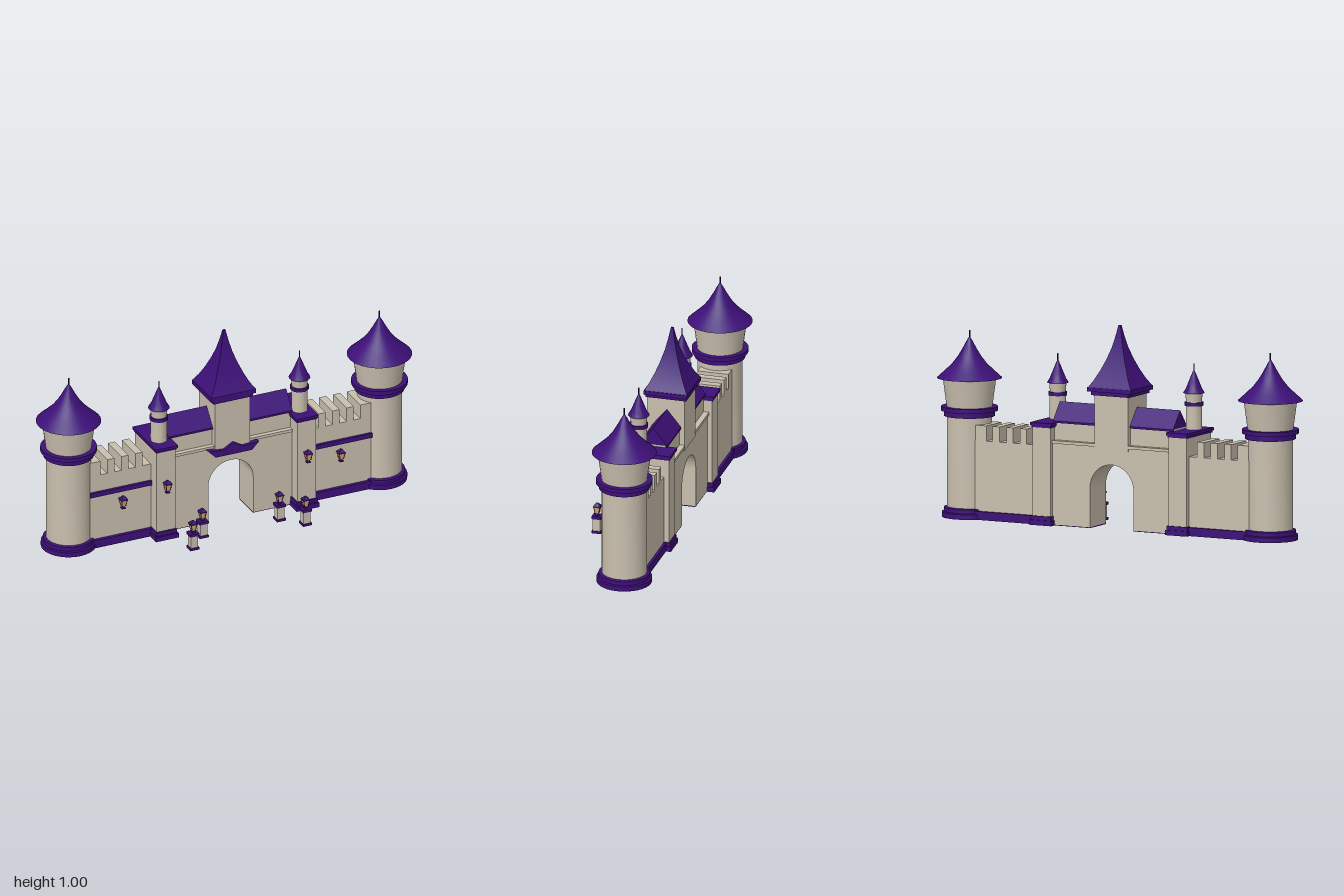
import * as THREE from 'three';
import { toCreasedNormals } from 'three/addons/utils/BufferGeometryUtils.js';

const mat = (name, color) => {
  const m = new THREE.MeshStandardMaterial({ color });
  m.name = name;
  return m;
};

export function createModel() {
  const stone = mat('stone', 0xc9bfae);
  const purple = mat('purple', 0x3d0f78);
  const glass = mat('lanternGlass', 0xdcae62);
  const dark = mat('finialMetal', 0x1c0a36);

  const add = (parent, name, geo, material) => {
    const m = new THREE.Mesh(geo, material);
    m.name = name;
    parent.add(m);
    return m;
  };
  // Box given by its min and max on each axis
  const box = (parent, name, material, x0, x1, y0, y1, z0, z1) => {
    const m = add(parent, name, new THREE.BoxGeometry(Math.abs(x1 - x0), y1 - y0, z1 - z0), material);
    m.position.set((x0 + x1) / 2, (y0 + y1) / 2, (z0 + z1) / 2);
    return m;
  };
  // Turned part from [radius, height] pairs, bottom to top
  const turned = (parent, name, material, pts, sides = 32, crease = 0.5) => {
    const flat = sides === 4;
    const g = new THREE.LatheGeometry(
      pts.map(([r, y]) => new THREE.Vector2(flat ? r * Math.SQRT2 : r, y)), sides, flat ? Math.PI / 4 : 0);
    return add(parent, name, toCreasedNormals(g, flat ? 0.3 : crease), material);
  };
  const group = (parent, name, x, y, z) => {
    const g = new THREE.Group();
    g.name = name;
    g.position.set(x, y, z);
    parent.add(g);
    return g;
  };

  const model = new THREE.Group();
  model.name = 'castleGate';
  const castle = group(model, 'castle', 0, 0, -0.078);
  castle.rotation.y = -0.0167;

  // Small lantern, 0.07 tall
  const lantern = (parent, x, y, z) => {
    const g = group(parent, 'lantern', x, y, z);
    turned(g, 'lanternFoot', purple, [[0, 0], [0.010, 0], [0.010, 0.006], [0.005, 0.009], [0.008, 0.015], [0, 0.015]], 4);
    turned(g, 'lanternPane', glass, [[0.009, 0.014], [0.015, 0.048]], 4);
    turned(g, 'lanternCap', purple, [[0, 0.047], [0.018, 0.047], [0.018, 0.052], [0.008, 0.062], [0, 0.071]], 4);
    for (const sx of [-1, 1]) for (const sz of [-1, 1]) {
      const bar = add(g, 'lanternBar', new THREE.BoxGeometry(0.003, 0.035, 0.003), purple);
      bar.position.set(sx * 0.012, 0.031, sz * 0.012);
      bar.rotation.set(sz * 0.17, 0, -sx * 0.17);
    }
  };

  for (const s of [-1, 1]) {
    // Round end tower
    const tower = group(castle, 'endTower', s * 0.838, 0, 0);
    turned(tower, 'towerBase', purple, [[0, 0], [0.136, 0], [0.136, 0.025], [0.126, 0.028], [0.126, 0.048], [0.11, 0.052]]);
    turned(tower, 'towerShaft', stone, [[0.111, 0.04], [0.111, 0.51]]);
    turned(tower, 'towerRing', purple,
      [[0.105, 0.498], [0.125, 0.498], [0.125, 0.522], [0.139, 0.524], [0.139, 0.545], [0.1, 0.545]]);
    turned(tower, 'towerDrum', stone, [[0.112, 0.54], [0.132, 0.69]]);
    turned(tower, 'towerRoof', purple,
      [[0, 0.685], [0.16, 0.685], [0.118, 0.723], [0.085, 0.755], [0.058, 0.79], [0.034, 0.83], [0.015, 0.866], [0, 0.89]]);
    turned(tower, 'towerFinial', dark, [[0.004, 0.875], [0.004, 0.918], [0, 0.92]], 8);

    // Battlemented curtain wall
    const wall = group(castle, 'curtainWall', 0, 0, 0);
    box(wall, 'wallBody', stone, s * 0.42, s * 0.8, 0.01, 0.39, -0.082, 0.075);
    box(wall, 'wallBase', purple, s * 0.42, s * 0.8, 0, 0.042, -0.096, 0.092);
    box(wall, 'wallBand', purple, s * 0.42, s * 0.76, 0.278, 0.302, 0.07, 0.088);
    for (const [a, b] of [[0.475, 0.513], [0.55, 0.588], [0.626, 0.664], [0.7, 0.76]])
      box(wall, 'merlon', stone, s * a, s * b, 0.385, 0.465, -0.082, 0.075);
    lantern(wall, s * 0.587, 0.19, 0.095);

    // Square pier with its turret
    const pier = group(castle, 'pier', s * 0.379, 0, 0);
    box(pier, 'pierBody', stone, -0.05, 0.05, 0.01, 0.49, -0.108, 0.143);
    box(pier, 'pierBase', purple, -0.061, 0.061, 0, 0.025, -0.121, 0.16);
    box(pier, 'pierBaseStep', purple, -0.056, 0.056, 0.025, 0.045, -0.115, 0.152);
    box(pier, 'pierCapStep', purple, -0.054, 0.054, 0.482, 0.492, -0.112, 0.148);
    box(pier, 'pierCap', purple, -0.059, 0.059, 0.492, 0.506, -0.118, 0.156);
    lantern(pier, 0, 0.262, 0.162);
    const turret = group(pier, 'turret', 0, 0, 0.06);
    turned(turret, 'turretShaft', stone, [[0.04, 0.5], [0.04, 0.63]], 24);
    turned(turret, 'turretRing', purple, [[0.035, 0.622], [0.046, 0.622], [0.046, 0.64], [0.035, 0.64]], 24);
    turned(turret, 'turretDrum', stone, [[0.038, 0.635], [0.043, 0.69]], 24);
    turned(turret, 'turretRoof', purple,
      [[0, 0.685], [0.053, 0.685], [0.039, 0.708], [0.026, 0.74], [0.012, 0.775], [0, 0.802]], 24);
    turned(turret, 'turretFinial', dark, [[0.003, 0.795], [0.003, 0.828], [0, 0.83]], 8);

    // Upper gatehouse wall and gabled roof
    box(castle, 'upperWall', stone, s * 0.05, s * 0.335, 0.4, 0.515, -0.064, 0.064);
    box(castle, 'wallLedge', stone, s * 0.09, s * 0.335, 0.405, 0.42, -0.092, 0.088);
    const gable = new THREE.Shape([[-0.072, 0.505], [0.072, 0.505], [0.072, 0.515], [0, 0.602], [-0.072, 0.515]]
      .map(p => new THREE.Vector2(...p)));
    const roof = add(castle, 'gableRoof',
      new THREE.ExtrudeGeometry(gable, { depth: 0.25, bevelEnabled: false }), purple);
    roof.rotation.y = Math.PI / 2;
    roof.position.x = s > 0 ? 0.085 : -0.335;
    box(castle, 'footing', purple, s * 0.121, s * 0.335, 0, 0.005, -0.083, 0.077);

    // Lamp pedestals in front of the gate
    for (const [x, z] of [[0.303, 0.293], [0.208, 0.196]]) {
      const lamp = group(castle, 'lampPedestal', s * x, 0, z);
      box(lamp, 'pedestalBase', purple, -0.024, 0.024, 0, 0.012, -0.024, 0.024);
      box(lamp, 'pedestalBody', stone, -0.019, 0.019, 0.01, 0.078, -0.019, 0.019);
      box(lamp, 'pedestalCap', purple, -0.024, 0.024, 0.075, 0.089, -0.024, 0.024);
      lantern(lamp, 0, 0.087, 0);
    }
  }

  // Gatehouse wall with arched passage
  const gate = new THREE.Shape();
  gate.moveTo(-0.335, 0.004);
  gate.lineTo(-0.121, 0.004);
  gate.lineTo(-0.121, 0.199);
  gate.absarc(0, 0.199, 0.121, Math.PI, 0, true);
  gate.lineTo(0.121, 0.004);
  gate.lineTo(0.335, 0.004);
  gate.lineTo(0.335, 0.41);
  gate.lineTo(-0.335, 0.41);
  const gateGeo = new THREE.ExtrudeGeometry(gate, { depth: 0.164, bevelEnabled: false, curveSegments: 24 });
  gateGeo.translate(0, 0, -0.085);
  add(castle, 'gateWall', toCreasedNormals(gateGeo, 0.5), stone);

  // Bracket over the arch
  const bracket = new THREE.Shape([[-0.137, 0.41], [-0.098, 0.37], [0.098, 0.37], [0.137, 0.41],
    [0.05, 0.402], [0, 0.432], [-0.05, 0.402]].map(p => new THREE.Vector2(...p)));
  const bracketGeo = new THREE.ExtrudeGeometry(bracket, { depth: 0.045, bevelEnabled: false });
  bracketGeo.translate(0, 0, 0.07);
  add(castle, 'archBracket', bracketGeo, purple);

  // Central tower and its square flared spire
  box(castle, 'centreTower', stone, -0.094, 0.094, 0.39, 0.67, -0.09, 0.1);
  box(castle, 'eavesStep', purple, -0.106, 0.106, 0.66, 0.678, -0.101, 0.106);
  box(castle, 'eaves', purple, -0.122, 0.122, 0.678, 0.699, -0.111, 0.111);
  const spire = turned(castle, 'spire', purple, [[0, 0.697], [0.12, 0.697], [0.096, 0.735], [0.073, 0.78],
    [0.05, 0.835], [0.031, 0.89], [0.016, 0.95], [0.006, 1], [0, 1]], 4);
  spire.scale.z = 0.92;

  return model;
}
